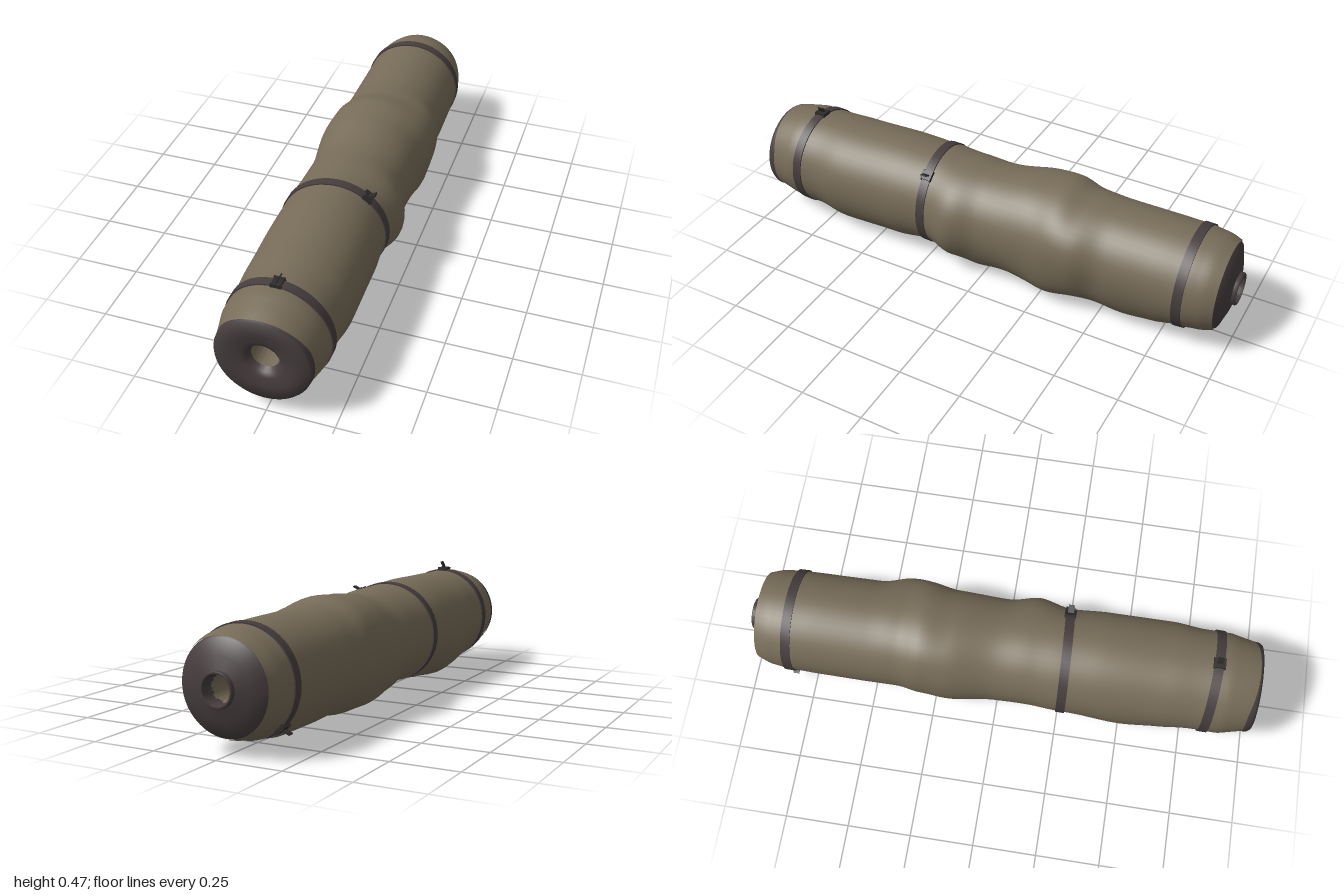
import * as THREE from 'three';
import { toCreasedNormals } from 'three/addons/utils/BufferGeometryUtils.js';

const CX = -0.005, CY = 0.237, SIDES = 48;

// Sleeve stations, front to back: z, then reach to +x, +y, -x, -y from the axis
const STATIONS = [
  [0.99, 0.174, 0.176, 0.172, 0.172],
  [0.95, 0.181, 0.186, 0.182, 0.178],
  [0.88, 0.196, 0.199, 0.199, 0.194],
  [0.78, 0.197, 0.199, 0.197, 0.2],
  [0.65, 0.209, 0.202, 0.203, 0.226],
  [0.4, 0.207, 0.208, 0.208, 0.218],
  [0.25, 0.199, 0.203, 0.207, 0.198],
  [0.12, 0.228, 0.199, 0.199, 0.2],
  [0.0, 0.203, 0.194, 0.197, 0.22],
  [-0.2, 0.207, 0.212, 0.22, 0.225],
  [-0.3, 0.215, 0.22, 0.213, 0.23],
  [-0.4, 0.219, 0.202, 0.2, 0.219],
  [-0.52, 0.201, 0.196, 0.201, 0.222],
  [-0.72, 0.198, 0.197, 0.2, 0.22],
  [-0.83, 0.196, 0.195, 0.2, 0.198],
  [-0.91, 0.188, 0.187, 0.19, 0.186],
  [-0.955, 0.172, 0.172, 0.172, 0.172],
];

// Folds in the cloth: angle in degrees, z, height, angular width, length
const FOLDS = [
  [300, 0.03, 0.018, 22, 0.09], [315, -0.28, 0.02, 25, 0.12],
  [300, -0.6, 0.012, 25, 0.1], [235, -0.15, 0.014, 28, 0.15],
  [210, 0.5, 0.012, 30, 0.12], [28, -0.36, 0.014, 25, 0.09],
  [130, -0.25, 0.014, 28, 0.13], [345, -0.47, -0.01, 25, 0.06],
  [250, 0.55, 0.012, 25, 0.1], [330, 0.13, 0.01, 25, 0.06],
];

function radiusAt(angle, z) {
  let i = 0;
  while (i < STATIONS.length - 2 && z < STATIONS[i + 1][0]) i++;
  const a = STATIONS[i], b = STATIONS[i + 1];
  let t = THREE.MathUtils.clamp((a[0] - z) / (a[0] - b[0]), 0, 1);
  if (Math.abs(z) < 0.88) t = t * t * (3 - 2 * t);
  const deg = ((angle * 180 / Math.PI) % 360 + 360) % 360;
  const q = Math.floor(deg / 90) % 4, n = (q + 1) % 4;
  const s = Math.sin((deg - q * 90) * Math.PI / 180) ** 2;
  const reach = k => THREE.MathUtils.lerp(a[k + 1], b[k + 1], t);
  let r = THREE.MathUtils.lerp(reach(q), reach(n), s);
  for (const [fa, fz, h, w, l] of FOLDS) {
    const da = ((deg - fa + 540) % 360 - 180) / w;
    r += h * Math.exp(-da * da - ((z - fz) / l) ** 2);
  }
  return r;
}

// Closed rings joined along -z; point(row, angle) returns [x, y, z]
function skin(rows, point) {
  const pos = [], index = [];
  for (let j = 0; j < rows; j++) {
    for (let i = 0; i < SIDES; i++) {
      pos.push(...point(j, i / SIDES * Math.PI * 2));
      if (j === rows - 1) continue;
      const a = j * SIDES + i, b = j * SIDES + (i + 1) % SIDES;
      index.push(a, a + SIDES, b, b, a + SIDES, b + SIDES);
    }
  }
  const g = new THREE.BufferGeometry();
  g.setAttribute('position', new THREE.Float32BufferAttribute(pos, 3));
  g.setIndex(index);
  g.computeVertexNormals();
  return g;
}

function onSleeve(angle, z, lift) {
  const r = radiusAt(angle, z) + lift;
  return [CX + Math.cos(angle) * r, CY + Math.sin(angle) * r, z];
}

export function createModel() {
  const model = new THREE.Group();
  const material = (name, color) => new THREE.MeshStandardMaterial({ name, color });
  const cloth = material('olive cloth', 0x776c58);
  const webbing = material('dark webbing', 0x463d3e);
  const metal = material('black buckle', 0x2e2b2b);

  function add(name, geometry, mat, parent = model) {
    const mesh = new THREE.Mesh(geometry, mat);
    mesh.name = name;
    parent.add(mesh);
    return mesh;
  }

  // Profile of [radius, z] spun around the long axis
  function revolve(name, points, mat, crease = 0.7) {
    const g = new THREE.LatheGeometry(points.map(p => new THREE.Vector2(...p)), SIDES);
    g.rotateX(Math.PI / 2);
    g.translate(CX, CY, 0);
    return add(name, toCreasedNormals(g, crease), mat);
  }

  // Loose cloth sleeve
  const ROWS = 110;
  add('sleeve', skin(ROWS, (j, a) =>
    onSleeve(a, THREE.MathUtils.lerp(0.99, -0.955, j / (ROWS - 1)), 0)), cloth);

  // Front cap, bore, back cap and collar
  revolve('frontCap', [[0.178, 0.97], [0.176, 0.99], [0.17, 1], [0.12, 0.998],
    [0.08, 0.994], [0.06, 0.985], [0.051, 0.965]], webbing, 1.2);
  revolve('bore', [[0.051, 0.966], [0.051, -0.95]], cloth);
  revolve('backCap', [[0.06, -0.985], [0.11, -0.972], [0.165, -0.953], [0.174, -0.94]], webbing);
  revolve('backCollar', [[0.051, -0.94], [0.051, -0.992], [0.054, -1], [0.06, -1],
    [0.063, -0.996], [0.063, -0.975]], webbing);

  // Straps follow the sleeve: z, slant, buckle angle in degrees
  const straps = [['front', 0.828, 0.05, 90], ['middle', 0.252, -0.04, 52], ['back', -0.825, 0, 226]];
  for (const [label, z, slant, deg] of straps) {
    const section = [[0.018, -0.004], [0.018, 0.005], [-0.018, 0.005], [-0.018, -0.004]];
    const g = skin(4, (j, a) =>
      onSleeve(a, z + slant * 0.2 * Math.cos(a) + section[j][0], section[j][1]));
    add(label + 'Strap', toCreasedNormals(g, 0.7), webbing);

    // Buckle: plate, two rails and a raised prong
    const angle = deg * Math.PI / 180;
    const buckle = new THREE.Group();
    buckle.name = label + 'Buckle';
    buckle.position.set(...onSleeve(angle, z + slant * 0.2 * Math.cos(angle), 0.006));
    buckle.rotation.z = angle - Math.PI / 2;
    add('bucklePlate', new THREE.BoxGeometry(0.036, 0.014, 0.034), metal, buckle);
    for (const s of [-1, 1]) {
      add('buckleRail', new THREE.BoxGeometry(0.042, 0.016, 0.007), metal, buckle)
        .position.z = s * 0.019;
    }
    const prong = add('buckleProng', new THREE.BoxGeometry(0.005, 0.034, 0.024), metal, buckle);
    prong.position.set(0.004, 0.018, 0);
    prong.rotation.z = -0.44;
    model.add(buckle);
  }
  return model;
}
